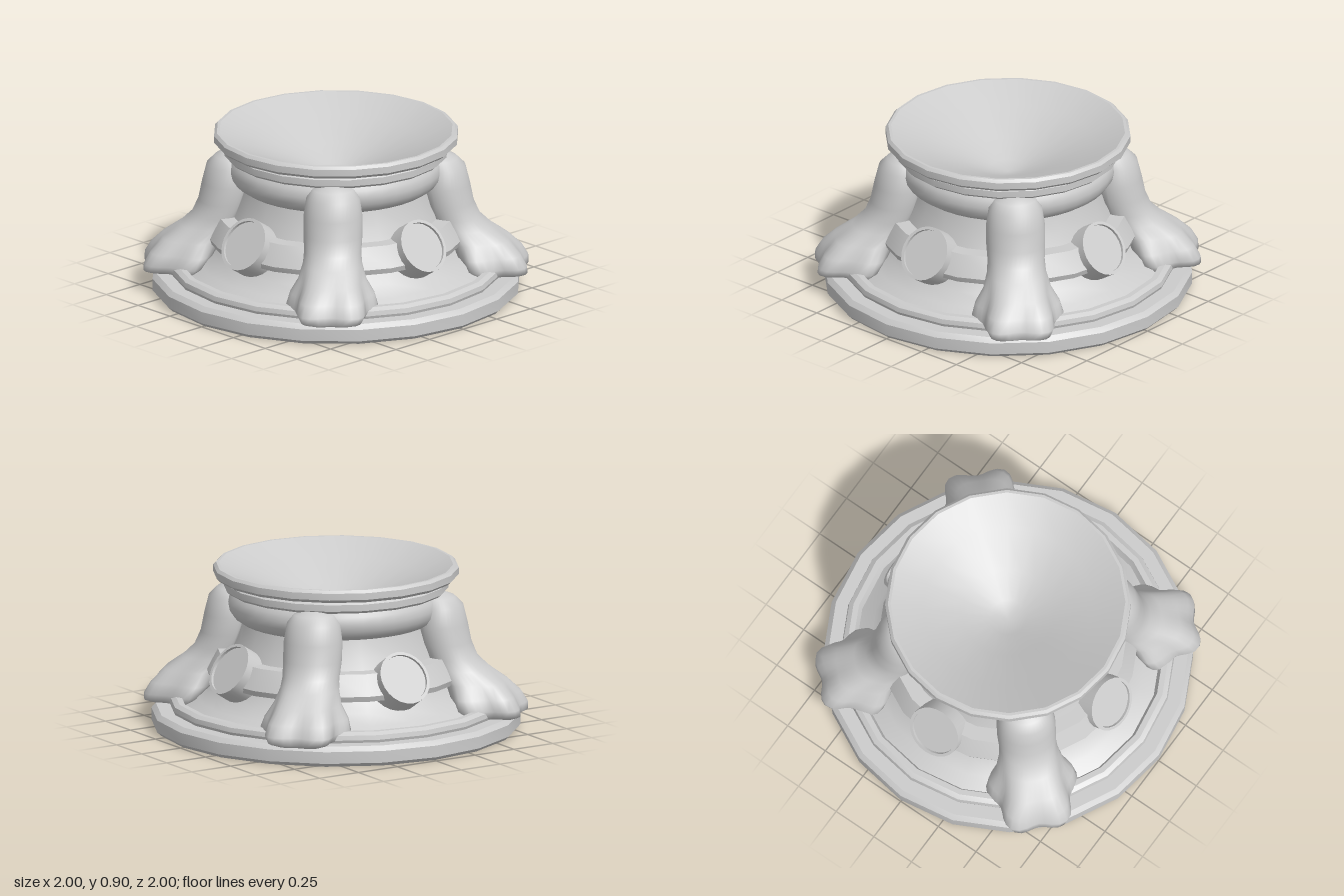
import * as THREE from 'three';
import { toCreasedNormals } from 'three/addons/utils/BufferGeometryUtils.js';

const material = new THREE.MeshStandardMaterial({ color: 0xcccccc, side: THREE.DoubleSide });

// Revolved part from [radius, height] pairs
function turned(name, profile, sides = 20, crease = 0.5) {
  const points = profile.map(([r, y]) => new THREE.Vector2(r, y));
  const mesh = new THREE.Mesh(toCreasedNormals(new THREE.LatheGeometry(points, sides), crease), material);
  mesh.name = name;
  return mesh;
}

// Leg and foot: stacked cross-sections, five-lobed near the ground, back following the wall
function legGeometry() {
  // [height, radial centre, radial half depth, half width, lobe strength, wall radius]
  const sections = [
    [0.77, 0.56, 0, 0, 0, 0.5], [0.765, 0.56, 0.05, 0.055, 0, 0.5], [0.745, 0.565, 0.09, 0.11, 0, 0.48],
    [0.70, 0.575, 0.125, 0.145, 0, 0.478], [0.60, 0.585, 0.14, 0.16, 0, 0.497], [0.50, 0.605, 0.14, 0.16, 0, 0.527],
    [0.42, 0.635, 0.145, 0.155, 0, 0.563], [0.36, 0.685, 0.16, 0.16, 0.02, 0.591],
    [0.29, 0.76, 0.185, 0.18, 0.06, 0.627], [0.22, 0.80, 0.21, 0.215, 0.11, 0.677],
    [0.16, 0.83, 0.212, 0.23, 0.13, 0.75], [0.12, 0.85, 0.195, 0.205, 0.13, 0.8],
    [0.10, 0.86, 0.14, 0.15, 0.1, 0.8], [0.10, 0.86, 0, 0, 0, 0.8],
  ];
  const n = 40, position = [], index = [];
  sections.forEach(([y, centre, depth, width, lobe, wall], i) => {
    for (let j = 0; j < n; j++) {
      const a = (j / n) * Math.PI * 2;
      const k = 1 - lobe * Math.cos(5 * a);
      const x = width * k * Math.sin(a);
      position.push(x, y, Math.max(Math.sqrt(wall * wall - x * x), centre + depth * k * Math.cos(a)));
      if (i === sections.length - 1) continue;
      const p = i * n + j, q = i * n + ((j + 1) % n);
      index.push(p, p + n, q, q, p + n, q + n);
    }
  });
  const geometry = new THREE.BufferGeometry();
  geometry.setAttribute('position', new THREE.Float32BufferAttribute(position, 3));
  geometry.setIndex(index);
  geometry.computeVertexNormals();
  return geometry;
}

export function createModel() {
  const model = new THREE.Group();
  model.name = 'pedestalBowl';

  // Hollow stepped base
  model.add(turned('base', [
    [0.94, 0], [0.98, 0], [1, 0.02], [1, 0.085], [0.975, 0.11], [0.9, 0.11], [0.905, 0.125],
    [0.9, 0.15], [0.875, 0.165], [0.845, 0.165], [0.825, 0.12], [0.80, 0.12],
  ]));

  // Flared wall
  model.add(turned('wall', [
    [0.83, 0.12], [0.75, 0.165], [0.68, 0.22], [0.63, 0.29], [0.58, 0.39], [0.535, 0.49], [0.50, 0.60], [0.48, 0.70],
  ]));

  // Belt around the wall
  model.add(turned('belt', [[0.632, 0.288], [0.695, 0.288], [0.705, 0.318], [0.645, 0.43], [0.565, 0.43]]));

  // Rounded collar
  const collar = new THREE.Mesh(new THREE.TorusGeometry(0.48, 0.105, 16, 40), material);
  collar.name = 'collar';
  collar.rotation.x = Math.PI / 2;
  collar.position.y = 0.69;
  model.add(collar);

  // Two rim bands joined by a neck, and the sunken bowl
  model.add(turned('rim', [
    [0.45, 0.757], [0.59, 0.757], [0.608, 0.772], [0.608, 0.808], [0.59, 0.822], [0.56, 0.822],
    [0.56, 0.83], [0.645, 0.83], [0.665, 0.848], [0.665, 0.885], [0.65, 0.9], [0.635, 0.9],
  ]));
  model.add(turned('bowl', [[0.635, 0.9], [0.46, 0.825], [0.25, 0.735], [0.1, 0.67], [0, 0.645]]));

  // Four diagonal legs and four tilted medallions between them
  const leg = legGeometry();
  for (let i = 0; i < 4; i++) {
    const legMesh = new THREE.Mesh(leg, material);
    legMesh.name = 'leg' + (i + 1);
    legMesh.rotation.y = (i + 0.5) * Math.PI / 2;
    model.add(legMesh);

    const holder = new THREE.Group();
    holder.name = 'medallion' + (i + 1);
    holder.rotation.y = i * Math.PI / 2;
    const disc = turned('medallionDisc', [
      [0.15, -0.23], [0.15, 0], [0.133, 0], [0.133, -0.015], [0, -0.015],
    ], 24);
    disc.position.set(0, 0.4, 0.69);
    disc.rotation.x = 1.0;
    holder.add(disc);
    model.add(holder);
  }
  return model;
}
